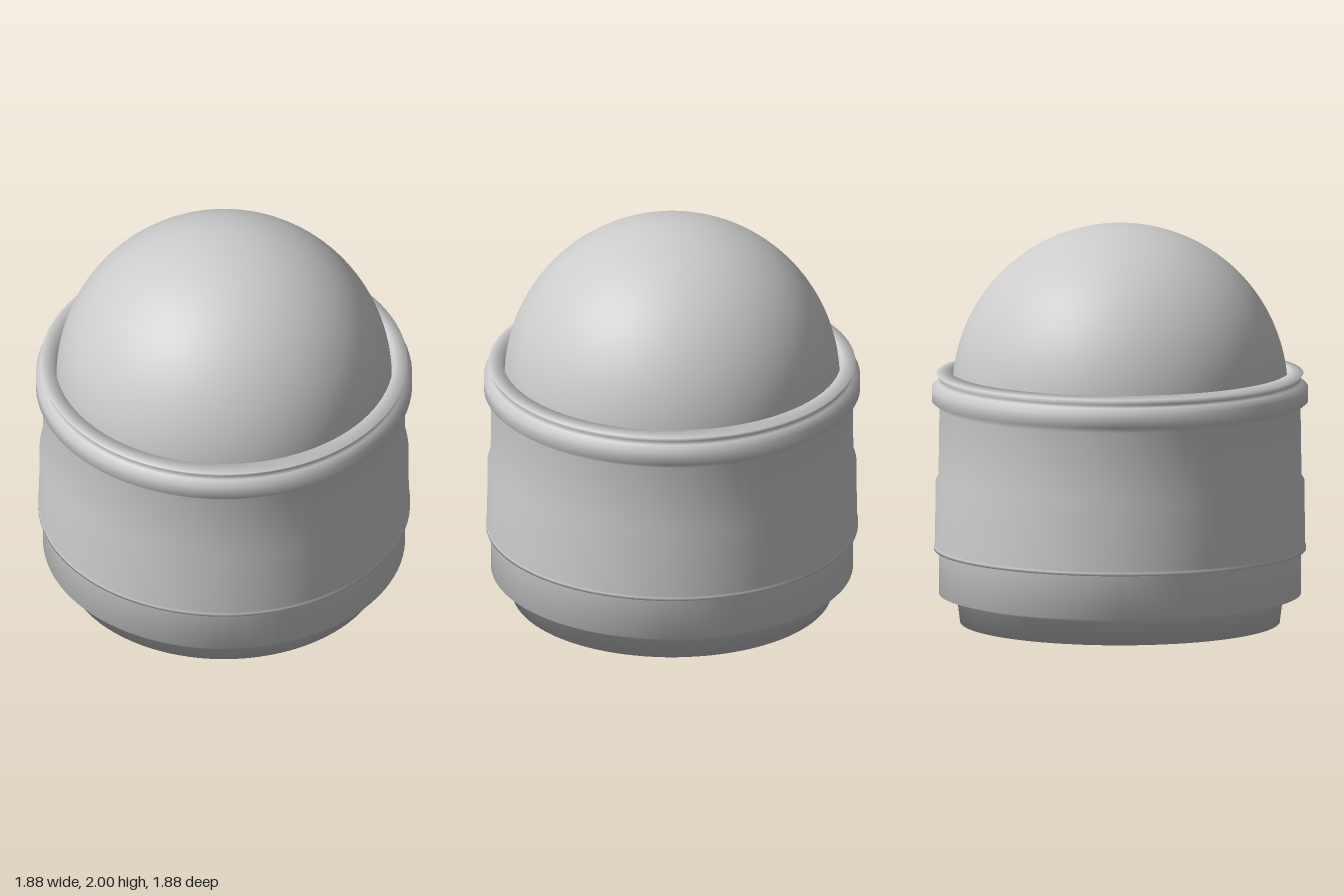
import * as THREE from 'three';

const SEGMENTS = 96;

export function createModel() {
  const model = new THREE.Group();
  model.name = 'domedCanister';

  const grey = new THREE.MeshStandardMaterial({ color: 0xcccccc });
  grey.name = 'light grey';

  // Turned body: closed base, foot step, thin band, collar and rolled lip
  const profile = [
    [0, 0], [0.797, 0],                                // base
    [0.812, 0.12], [0.903, 0.145],                     // foot step
    [0.903, 0.365], [0.928, 0.368], [0.928, 0.383],    // thin band
    [0.922, 0.388], [0.92, 0.71], [0.905, 0.735],      // lower sleeve
    [0.9, 1.085],                                      // upper wall
    [0.938, 1.115], [0.938, 1.182],                    // collar
    [0.908, 1.212], [0.892, 1.225],                    // groove
    [0.915, 1.253], [0.845, 1.265], [0.834, 1.18],     // lip
  ].map(([r, y]) => new THREE.Vector2(r, y));
  const body = new THREE.Mesh(new THREE.LatheGeometry(profile, SEGMENTS), grey);
  body.name = 'body';
  model.add(body);

  // Hemispherical cap seated inside the lip
  const dome = new THREE.Mesh(
    new THREE.SphereGeometry(0.836, SEGMENTS, 40, 0, Math.PI * 2, 0, Math.PI / 2),
    grey
  );
  dome.name = 'dome';
  dome.position.y = 1.164;
  model.add(dome);

  return model;
}
